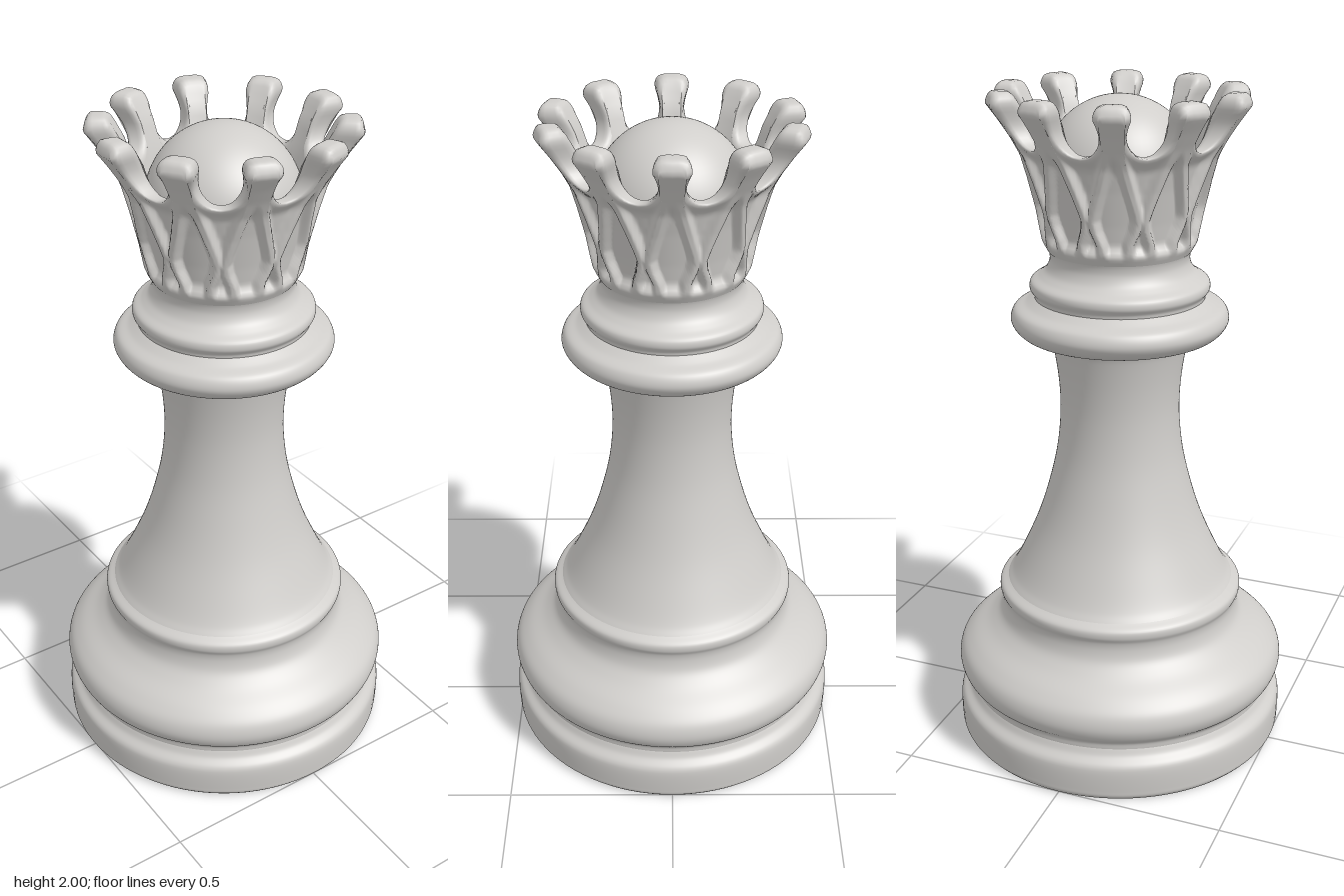
import * as THREE from 'three';

const ivory = new THREE.MeshStandardMaterial({ color: 0xd0cecb });
ivory.name = 'paleGrey';

// Smoothly turned part from [radius, height] points, bottom to top
function turned(name, points, divisions = 48) {
  const curve = new THREE.CatmullRomCurve3(points.map(([r, y]) => new THREE.Vector3(r, y, 0)));
  const profile = curve.getPoints(divisions).map((p) => new THREE.Vector2(Math.max(p.x, 0), p.y));
  const mesh = new THREE.Mesh(new THREE.LatheGeometry(profile, 96), ivory);
  mesh.name = name;
  return mesh;
}

// Piecewise linear lookup in a [key, value] list
function lookup(table, k) {
  for (let i = 1; i < table.length; i++) {
    const [k0, v0] = table[i - 1], [k1, v1] = table[i];
    if (k <= k1) return v0 + (v1 - v0) * THREE.MathUtils.clamp((k - k0) / (k1 - k0), 0, 1);
  }
  return table[table.length - 1][1];
}

const outerRadius = [[1.54, 0.208], [1.57, 0.225], [1.65, 0.24], [1.75, 0.263], [1.82, 0.283],
  [1.87, 0.31], [1.92, 0.343], [1.965, 0.376], [2.0, 0.366]];
const innerRadius = [[1.72, 0.21], [1.76, 0.222], [1.85, 0.245], [1.93, 0.272], [2.0, 0.31]];
const ribPosition = [[1.56, 0.5], [1.60, 0.42], [1.64, 0.2], [1.67, 0.12], [1.70, 0.22],
  [1.76, 0.46], [1.82, 0.68], [1.86, 0.8]];
const SECTOR = Math.PI / 5;

// Carved lattice: ribs drop from each prong, pinch under the notch and part again
function relief(theta, y) {
  const t = theta / SECTOR;
  const p = Math.abs(t - Math.round(t)) * 2; // 0 at notch, 1 at prong
  const { smoothstep } = THREE.MathUtils;
  const fade = smoothstep(y, 1.56, 1.6) * (1 - smoothstep(y, 1.8, 1.87));
  return -0.024 * fade * smoothstep(Math.abs(p - lookup(ribPosition, y)), 0.08, 0.32);
}

// Rim line of the whole crown as (angle, height): ten notches and ten prongs
function rimPath() {
  const half = new THREE.SplineCurve([[0, 1.85], [0.03, 1.857], [0.054, 1.88], [0.064, 1.91],
    [0.061, 1.94], [0.055, 1.968], [0.062, 1.992], [0.08, 2.0], [0.1, 2.0]]
    .map(([a, y]) => new THREE.Vector2(a, y))).getSpacedPoints(18);
  const unit = [...half, ...half.slice(1, -1).reverse().map((p) => new THREE.Vector2(0.2 - p.x, p.y))];
  const path = [];
  for (let k = 0; k < 10; k++) {
    for (const p of unit) path.push(new THREE.Vector2(p.x + 0.2 * k, p.y));
  }
  return path;
}

// Crown wall: rows run up the outside, over the rounded rim and down the inside
function crownGeometry() {
  const path = rimPath(), n = path.length, span = 2.0;
  const inset = path.map((p, i) => {
    const a = path[(i + n - 1) % n], b = path[(i + 1) % n];
    const dx = b.x - a.x + (i === 0 || i === n - 1 ? span : 0), dy = b.y - a.y;
    return new THREE.Vector2(dy, -dx).normalize();
  });
  // Each row: t along the wall, s across it (0 outer, 1 inner), rim pull-back
  const rows = [];
  for (let i = 0; i <= 44; i++) rows.push([i / 44, 0, 0.014]);
  rows.push([1, 0.05, 0.006], [1, 0.15, 0.001], [1, 0.3, 0], [1, 0.5, 0], [1, 0.7, 0],
    [1, 0.85, 0.001], [1, 0.95, 0.006]);
  for (let i = 14; i >= 0; i--) rows.push([i / 14, 1, 0.014]);

  const pos = [], index = [];
  rows.forEach(([t, s, pull], j) => {
    const baseY = s < 0.5 ? 1.54 : 1.72;
    for (let i = 0; i < n; i++) {
      const rimX = path[i].x + inset[i].x * pull, rimY = path[i].y + inset[i].y * pull;
      const arc = THREE.MathUtils.lerp((i / n) * span, rimX, t * t);
      const y = THREE.MathUtils.lerp(baseY, rimY, t);
      const theta = (arc / 0.2) * SECTOR;
      const r = THREE.MathUtils.lerp(lookup(outerRadius, y) + (s < 0.5 ? relief(theta, y) : 0),
        lookup(innerRadius, y), s);
      pos.push(r * Math.sin(theta), y, r * Math.cos(theta));
      if (j > 0) {
        const k = (i + 1) % n, a = (j - 1) * n + i, b = (j - 1) * n + k, c = j * n + k, d = j * n + i;
        index.push(a, b, d, b, c, d);
      }
    }
  });
  const geo = new THREE.BufferGeometry();
  geo.setAttribute('position', new THREE.Float32BufferAttribute(pos, 3));
  geo.setIndex(index);
  geo.computeVertexNormals();
  return geo;
}

export function createModel() {
  const model = new THREE.Group();
  model.name = 'chessQueen';

  // Flat underside and plinth
  const underside = new THREE.Mesh(new THREE.CircleGeometry(0.5, 96), ivory);
  underside.name = 'underside';
  underside.rotation.x = Math.PI / 2;
  model.add(underside);
  model.add(turned('plinth', [[0.5, 0], [0.509, 0.012], [0.511, 0.03], [0.511, 0.1],
    [0.505, 0.115], [0.485, 0.135], [0.475, 0.155]]));

  // Rounded foot with its upper step
  model.add(turned('foot', [[0.475, 0.155], [0.478, 0.175], [0.5, 0.2], [0.511, 0.235],
    [0.502, 0.275], [0.47, 0.31], [0.41, 0.352], [0.378, 0.385], [0.367, 0.42], [0.368, 0.445],
    [0.376, 0.465], [0.374, 0.485], [0.35, 0.502]], 72));

  // Waisted stem
  model.add(turned('stem', [[0.35, 0.502], [0.333, 0.525], [0.295, 0.6], [0.252, 0.7],
    [0.217, 0.81], [0.19, 0.93], [0.179, 1.05], [0.183, 1.15], [0.198, 1.25], [0.205, 1.275]], 60));

  // Collar rings and neck under the crown
  model.add(turned('collar', [[0.2, 1.27], [0.24, 1.282], [0.295, 1.3], [0.32, 1.335],
    [0.31, 1.368], [0.275, 1.386], [0.25, 1.402]]));
  model.add(turned('upperRing', [[0.25, 1.402], [0.252, 1.412], [0.263, 1.43], [0.26, 1.45],
    [0.235, 1.467], [0.215, 1.485], [0.204, 1.51], [0.204, 1.53], [0.21, 1.55]]));

  // Crown with ten prongs
  const crown = new THREE.Mesh(crownGeometry(), ivory);
  crown.name = 'crown';
  model.add(crown);

  // Domed ball inside the crown
  const ball = new THREE.Mesh(
    new THREE.SphereGeometry(0.22, 64, 24, 0, Math.PI * 2, 0, Math.PI * 0.6), ivory);
  ball.name = 'crownBall';
  ball.position.y = 1.76;
  model.add(ball);

  return model;
}
